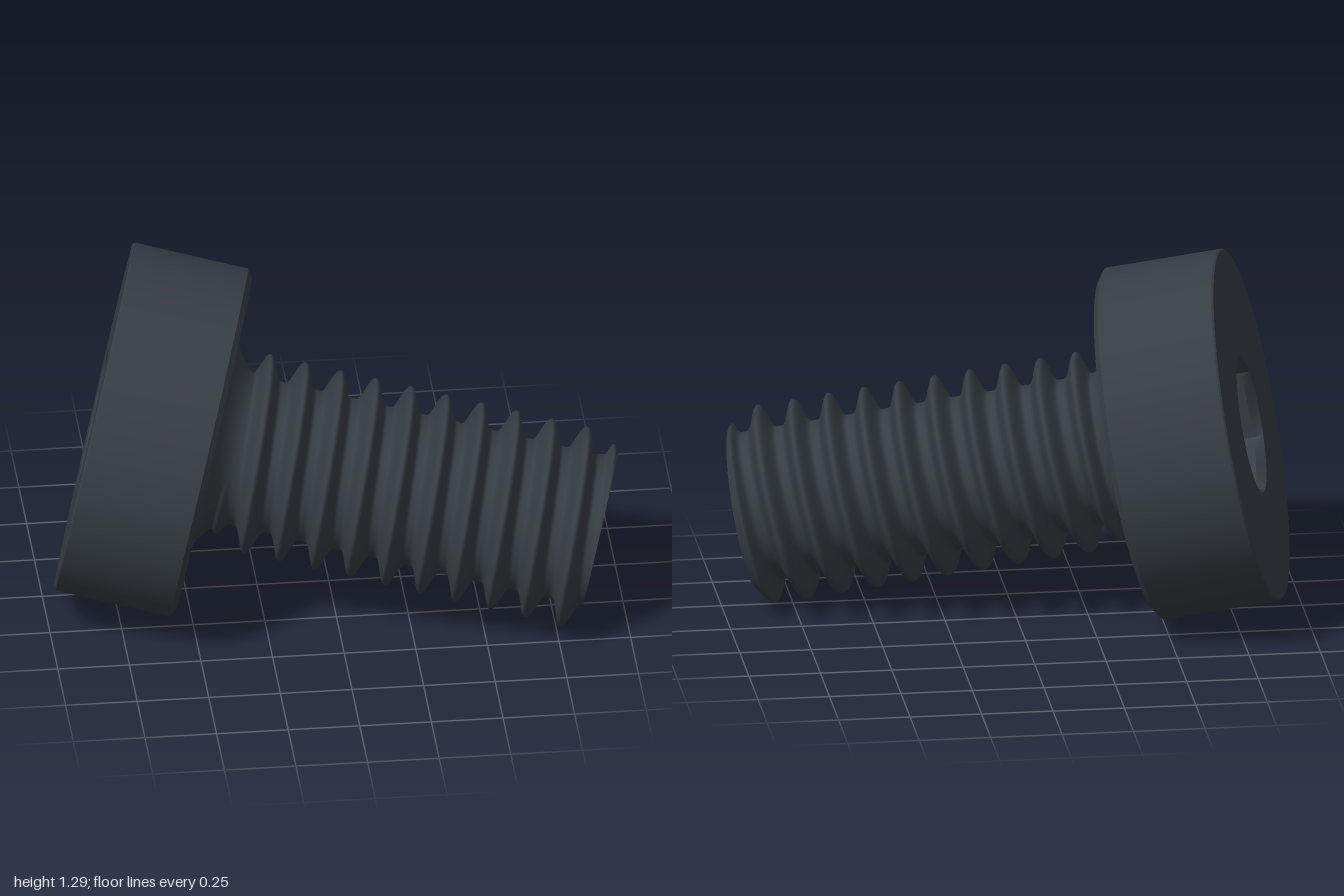
import * as THREE from 'three';
import { toCreasedNormals } from 'three/addons/utils/BufferGeometryUtils.js';

const TAU = Math.PI * 2;

// Skins closed rings around the local x axis. Each row is [position, radius or radius(angle)].
function loft(rows, n) {
  const pos = [], idx = [];
  rows.forEach(([s, r], j) => {
    for (let i = 0; i < n; i++) {
      const a = (i / n) * TAU;
      const rad = typeof r === 'function' ? r(a) : r;
      pos.push(s, rad * Math.cos(a), rad * Math.sin(a));
      if (j === rows.length - 1) continue;
      const k = (i + 1) % n, p = j * n, q = p + n;
      idx.push(p + i, p + k, q + i, p + k, q + k, q + i);
    }
  });
  const g = new THREE.BufferGeometry();
  g.setAttribute('position', new THREE.Float32BufferAttribute(pos, 3));
  g.setIndex(idx);
  g.computeVertexNormals();
  return g;
}

export function createModel() {
  const steel = new THREE.MeshStandardMaterial({ color: 0x363d43 });
  steel.name = 'dark steel';

  const screw = new THREE.Group();
  screw.name = 'screw';
  const add = (name, geometry) => {
    const mesh = new THREE.Mesh(geometry, steel);
    mesh.name = name;
    screw.add(mesh);
  };

  // Head with a hexagonal socket, from socket floor round to the underside
  const socketR = 0.24, headR = 0.619, seat = 0.43;
  const hex = (a) => {
    const sector = Math.PI / 3;
    const off = (a % sector) - sector / 2;
    return (socketR * Math.cos(sector / 2)) / Math.cos(off);
  };
  add('head', toCreasedNormals(loft([
    [0.3, 0.001], [0.3, hex], [0.03, hex], [0, socketR],
    [0, headR - 0.006], [0.006, headR], [0.41, headR],
    [seat, headR - 0.027], [seat, 0.3],
  ], 96), 0.5));

  // Threaded shank: right-handed helix, neck fillet and chamfered tip
  const pitch = 0.1253, rootR = 0.262, crestR = 0.347, tip = 1.803, tipR = 0.29;
  const shankRadius = (s, a) => {
    const turns = (s - 0.939) / pitch - a / TAU;
    const fromCrest = Math.abs(turns - Math.round(turns));
    const ridge = 1 - THREE.MathUtils.smoothstep(fromCrest, 0.02, 0.4);
    const fadeIn = THREE.MathUtils.smoothstep(s, 0.45, 0.55);
    const thread = rootR + (crestR - rootR) * ridge * fadeIn;
    const t = Math.min(1, (s - seat) / 0.11);
    const neck = rootR + 0.105 * (1 - t) ** 2;
    return Math.min(Math.max(thread, neck), tipR + (tip - s) * 1.1);
  };
  const rows = [], count = 230;
  for (let j = 0; j <= count; j++) {
    const s = seat + ((tip - seat) * j) / count;
    rows.push([s, (a) => shankRadius(s, a)]);
  }
  add('threadedShank', loft(rows, 72));

  // Flat end of the shank
  add('tipFace', loft([[tip, (a) => shankRadius(tip, a)], [tip, 0.001]], 72));

  // Lean the screw so it rests on the head rim and the tip
  const axis = new THREE.Vector3(1, -0.208, 0.215).normalize();
  screw.quaternion.setFromUnitVectors(new THREE.Vector3(1, 0, 0), axis);
  screw.position.set(-0.817, 0.695, -0.045);

  const model = new THREE.Group();
  model.name = 'socketHeadScrew';
  model.add(screw);
  return model;
}
